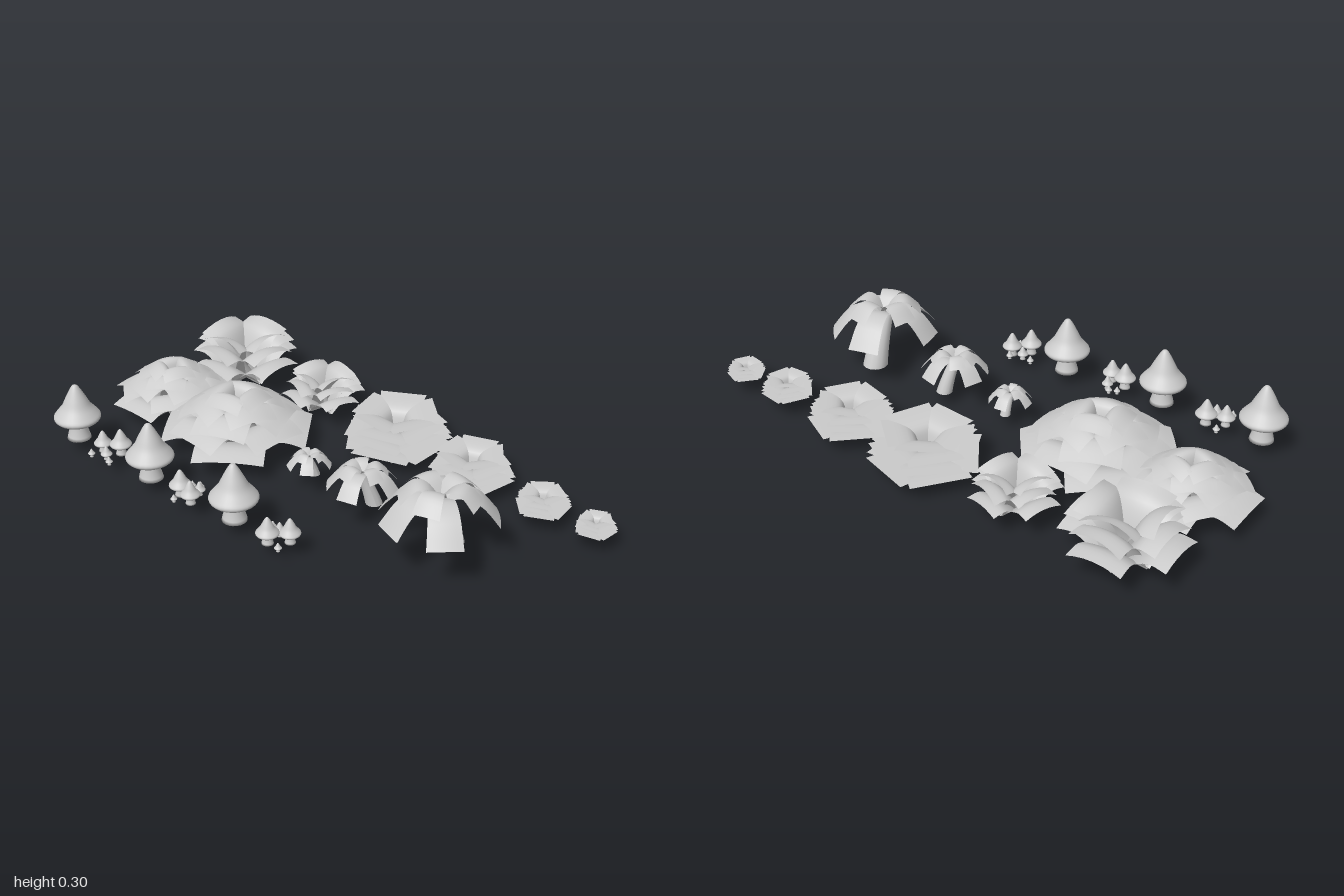
import * as THREE from 'three';

const grey = new THREE.MeshStandardMaterial({ color: 0xcccccc, side: THREE.DoubleSide });

// Ribbon leaf growing along +x: profile is a few [reach, height] points, width runs w0 to w1,
// bend pushes the long edges along the leaf's own normal
function leafGeometry(profile, w0, w1, bend = 0) {
  const curve = new THREE.SplineCurve(profile.map(([r, y]) => new THREE.Vector2(r, y)));
  const geo = new THREE.PlaneGeometry(1, 1, 14, 6);
  const p = geo.attributes.position;
  for (let i = 0; i < p.count; i++) {
    const t = THREE.MathUtils.clamp(p.getX(i) + 0.5, 0, 1), v = -p.getY(i);
    const c = curve.getPoint(t), tangent = curve.getTangent(t);
    const push = bend * 4 * v * v * t;
    p.setXYZ(i, c.x - tangent.y * push, c.y + tangent.x * push, v * (w0 + (w1 - w0) * t));
  }
  geo.computeVertexNormals();
  return geo;
}

const evenAngles = (n) => Array.from({ length: n }, (_, k) => (k * 360) / n);

// Rings of leaves at the given angles; each layer is { profile, w0, w1, bend, turn } with turn in degrees
function leafRings(name, angles, layers) {
  const group = new THREE.Group();
  group.name = name;
  for (const { profile, w0, w1, bend, turn } of layers) {
    const geo = leafGeometry(profile, w0, w1, bend);
    for (const angle of angles) {
      const leaf = new THREE.Mesh(geo, grey);
      leaf.name = 'leaf';
      leaf.rotation.y = -THREE.MathUtils.degToRad(turn + angle);
      group.add(leaf);
    }
  }
  return group;
}

// Open rosette: petals rise steeply at the heart, then spread into flat stacked rims
const rosette = () => leafRings('rosette', evenAngles(5), [
  { profile: [[0.01, -0.075], [0.04, -0.035], [0.1, -0.018], [0.18, -0.014]], w0: 0.19, w1: 0.22, turn: 18 },
  { profile: [[0.01, -0.07], [0.035, -0.01], [0.09, 0.018], [0.175, 0.024]], w0: 0.17, w1: 0.21, turn: 28 },
  { profile: [[0.01, -0.07], [0.03, 0.01], [0.07, 0.048], [0.16, 0.056]], w0: 0.15, w1: 0.195, turn: 21 },
  { profile: [[0.01, -0.07], [0.025, 0.03], [0.055, 0.08], [0.145, 0.095]], w0: 0.11, w1: 0.175, turn: 42 },
]);

// Dome bush with overlapping, drooping leaves
const bush = () => leafRings('bush', evenAngles(4), [
  { profile: [[0.02, 0.01], [0.09, 0.065], [0.18, 0.1], [0.265, 0.082]], w0: 0.25, w1: 0.26, bend: -0.01, turn: 0 },
  { profile: [[0.02, 0.01], [0.07, 0.1], [0.15, 0.14], [0.235, 0.112]], w0: 0.22, w1: 0.23, bend: -0.015, turn: 40 },
  { profile: [[0.01, 0.02], [0.05, 0.135], [0.115, 0.18], [0.2, 0.145]], w0: 0.19, w1: 0.21, bend: -0.018, turn: 14 },
  { profile: [[0.01, 0.02], [0.035, 0.16], [0.085, 0.208], [0.16, 0.178]], w0: 0.15, w1: 0.185, bend: -0.018, turn: 58 },
  { profile: [[0, 0.03], [0.015, 0.19], [0.05, 0.236], [0.115, 0.208]], w0: 0.1, w1: 0.15, bend: -0.016, turn: 25 },
]);

// Four-armed plant with tall arched blades
const fanPlant = () => leafRings('fanPlant', evenAngles(4), [
  { profile: [[0, 0.005], [0.06, 0.07], [0.13, 0.118], [0.2, 0.118]], w0: 0.18, w1: 0.2, bend: -0.02, turn: 0 },
  { profile: [[0, 0.005], [0.045, 0.11], [0.1, 0.17], [0.172, 0.18]], w0: 0.17, w1: 0.2, bend: -0.028, turn: 5 },
  { profile: [[0, 0.005], [0.025, 0.12], [0.065, 0.2], [0.13, 0.228]], w0: 0.16, w1: 0.2, bend: -0.03, turn: -3 },
]);

// Leaning trunk with two tiers of arching fronds
function palm() {
  const group = new THREE.Group();
  group.name = 'palm';
  const trunkGeo = new THREE.CylinderGeometry(0.03, 0.047, 0.2, 14, 8);
  trunkGeo.translate(0, 0.1, 0);
  const p = trunkGeo.attributes.position;
  for (let i = 0; i < p.count; i++) {
    const t = p.getY(i) / 0.2;
    p.setX(i, p.getX(i) + 0.055 - 0.075 * t * (0.7 + 0.3 * t));
  }
  trunkGeo.computeVertexNormals();
  const trunk = new THREE.Mesh(trunkGeo, grey);
  trunk.name = 'trunk';
  const crown = leafRings('fronds', [-14, 48, 136, 200, 258], [
    { profile: [[0, 0], [0.06, 0.022], [0.13, 0.0], [0.195, -0.075]], w0: 0.07, w1: 0.12, bend: -0.006, turn: 0 },
    { profile: [[0, 0], [0.04, 0.045], [0.085, 0.05], [0.135, 0.005]], w0: 0.045, w1: 0.095, bend: -0.006, turn: 26 },
  ]);
  crown.position.set(-0.01, 0.197, 0);
  group.add(trunk, crown);
  return group;
}

// Mushroom with a flared, pointed cap, standing on its own origin
const capGeo = new THREE.LatheGeometry(new THREE.SplineCurve([
  [0.03, 0.076], [0.06, 0.068], [0.08, 0.077], [0.085, 0.09], [0.073, 0.107],
  [0.053, 0.132], [0.038, 0.162], [0.021, 0.195], [0.009, 0.213], [0, 0.216],
].map(([x, y]) => new THREE.Vector2(x, y))).getPoints(30).map((v) => v.setX(Math.max(v.x, 0))), 28);
const stemGeo = new THREE.LatheGeometry(
  [[0, 0], [0.044, 0], [0.041, 0.012], [0.033, 0.04], [0.03, 0.078]].map(([x, y]) => new THREE.Vector2(x, y)), 20);

function mushroom() {
  const group = new THREE.Group();
  group.name = 'mushroom';
  for (const [name, geo] of [['cap', capGeo], ['stem', stemGeo]]) {
    const mesh = new THREE.Mesh(geo, grey);
    mesh.name = name;
    group.add(mesh);
  }
  return group;
}

export function createModel() {
  const root = new THREE.Group();
  root.name = 'plantCollection';
  const place = (plant, x, y, z, scale = 1, turn = 0) => {
    plant.position.set(x, y, z);
    plant.scale.setScalar(scale);
    plant.rotation.y = -THREE.MathUtils.degToRad(turn);
    root.add(plant);
  };

  // Row of rosettes, shrinking toward the front
  place(rosette(), 0.31, 0.076, 0.05, 0.98);
  place(rosette(), 0.29, 0.076, 0.405, 0.75, 10);
  place(rosette(), 0.28, 0.076, 0.715, 0.47, -8);
  place(rosette(), 0.28, 0.076, 0.925, 0.35, 5);

  // Bushes and four-armed plants at the back
  place(bush(), -0.05, 0.002, -0.41, 1, 53);
  place(bush(), -0.02, 0.01, -0.785, 0.82, 0);
  place(fanPlant(), 0.34, 0.003, -0.76, 0.98);
  place(fanPlant(), 0.345, 0.02, -0.345, 0.72, 17);

  // Palms in three sizes
  place(palm(), -0.13, 0.053, 0.6, 1);
  place(palm(), -0.1, 0.053, 0.25, 0.63, 30);
  place(palm(), -0.09, 0.053, -0.01, 0.4, 8);

  // Large mushrooms
  for (const [x, z] of [[-0.46, -0.82], [-0.47, -0.415], [-0.46, -0.01]]) place(mushroom(), x, 0.053, z);

  // Clusters of small mushrooms: x, z, cap radius
  const clusters = [
    [[-0.465, -0.677, 0.033], [-0.435, -0.614, 0.04], [-0.495, -0.624, 0.021],
      [-0.52, -0.677, 0.013], [-0.405, -0.672, 0.013], [-0.515, -0.587, 0.013]],
    [[-0.478, -0.254, 0.04], [-0.492, -0.19, 0.035], [-0.435, -0.206, 0.021],
      [-0.41, -0.227, 0.013], [-0.525, -0.238, 0.012], [-0.422, -0.255, 0.012]],
    [[-0.487, 0.17, 0.04], [-0.435, 0.222, 0.037], [-0.43, 0.17, 0.021],
      [-0.418, 0.127, 0.013], [-0.404, 0.212, 0.013], [-0.498, 0.228, 0.013]],
  ];
  for (const cluster of clusters) {
    for (const [x, z, r] of cluster) place(mushroom(), x, 0.053, z, r / 0.086);
  }
  return root;
}
